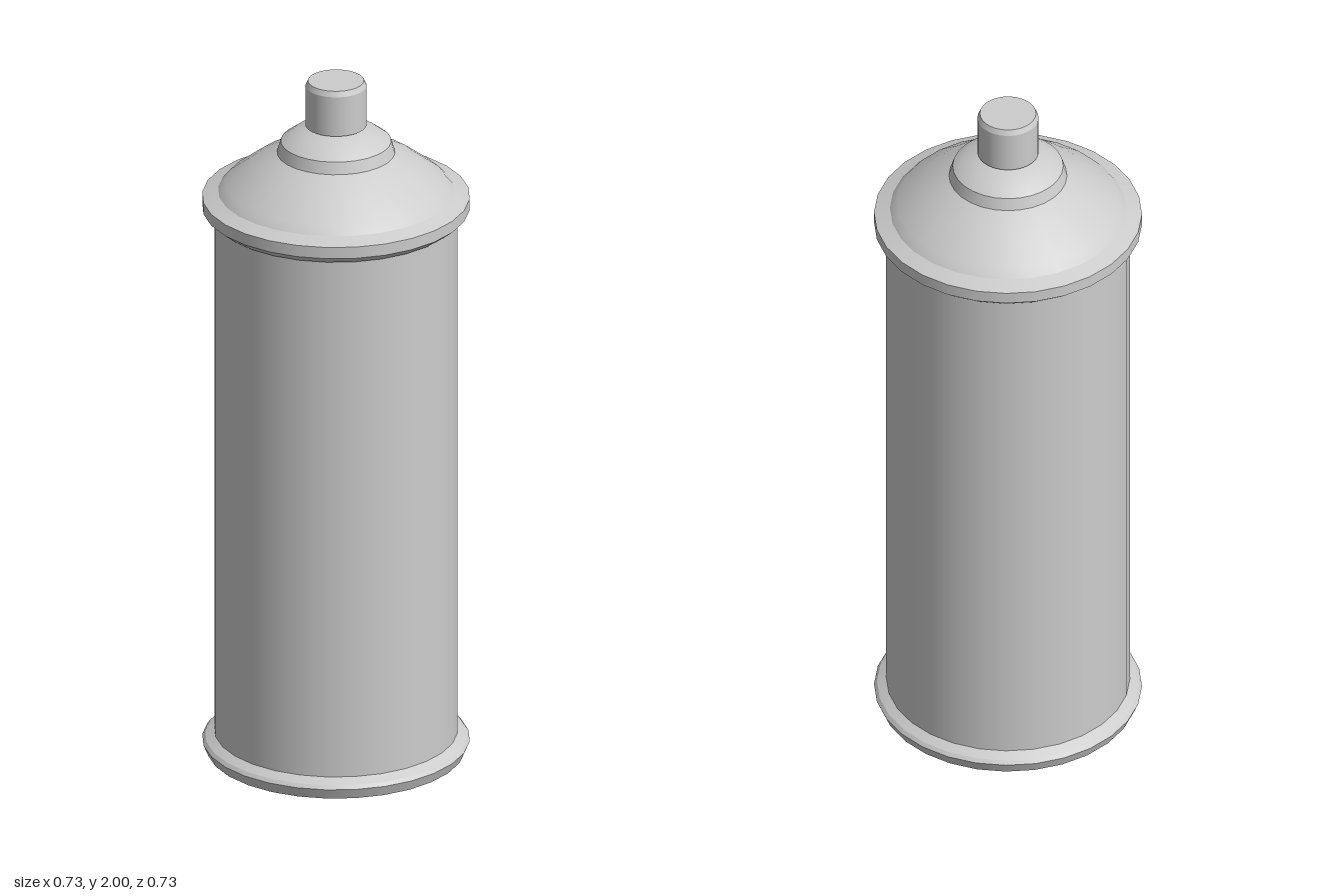
import * as THREE from 'three';

const SIDES = 28;

export function createModel() {
  const metal = new THREE.MeshStandardMaterial({ color: 0xcccccc });
  metal.name = 'light grey metal';
  const model = new THREE.Group();
  model.name = 'sprayCan';

  // One part turned from strips of [radius, y], bottom to top; edges between strips stay sharp
  function turned(name, ...strips) {
    const part = new THREE.Group();
    part.name = name;
    strips.forEach((strip, i) => {
      const points = strip.map(([r, y]) => new THREE.Vector2(r, y));
      const mesh = new THREE.Mesh(new THREE.LatheGeometry(points, SIDES), metal);
      mesh.name = name + (i + 1);
      part.add(mesh);
    });
    model.add(part);
  }

  // Slightly bulged underside and rolled lower rim
  turned('base', [[0, 0.005], [0.3, 0.018]], [[0.3, 0.018], [0.35, 0.035]]);
  turned('lowerRim', [[0.35, 0.035], [0.363, 0.066]], [[0.363, 0.066], [0.355, 0.076]],
    [[0.355, 0.076], [0.33, 0.09]]);

  // Straight cylinder wall
  turned('body', [[0.33, 0.09], [0.33, 1.607]]);

  // Rolled upper rim
  turned('upperRim', [[0.33, 1.607], [0.336, 1.607], [0.363, 1.629]],
    [[0.363, 1.629], [0.363, 1.662]], [[0.363, 1.662], [0.32, 1.677]]);

  // Domed shoulder
  turned('shoulder', [[0.32, 1.677], [0.3, 1.7], [0.225, 1.757], [0.16, 1.79]]);

  // Valve cup on top of the shoulder
  turned('valveCup', [[0.16, 1.79], [0.15, 1.823]],
    [[0.15, 1.823], [0.118, 1.847], [0.07, 1.864], [0.05, 1.866]]);

  // Stem and spray button
  turned('stem', [[0.05, 1.85], [0.05, 1.875]]);
  turned('sprayButton', [[0, 1.87], [0.083, 1.87]], [[0.083, 1.87], [0.083, 1.985]],
    [[0.083, 1.985], [0.076, 2]], [[0.076, 2], [0, 2]]);

  return model;
}
